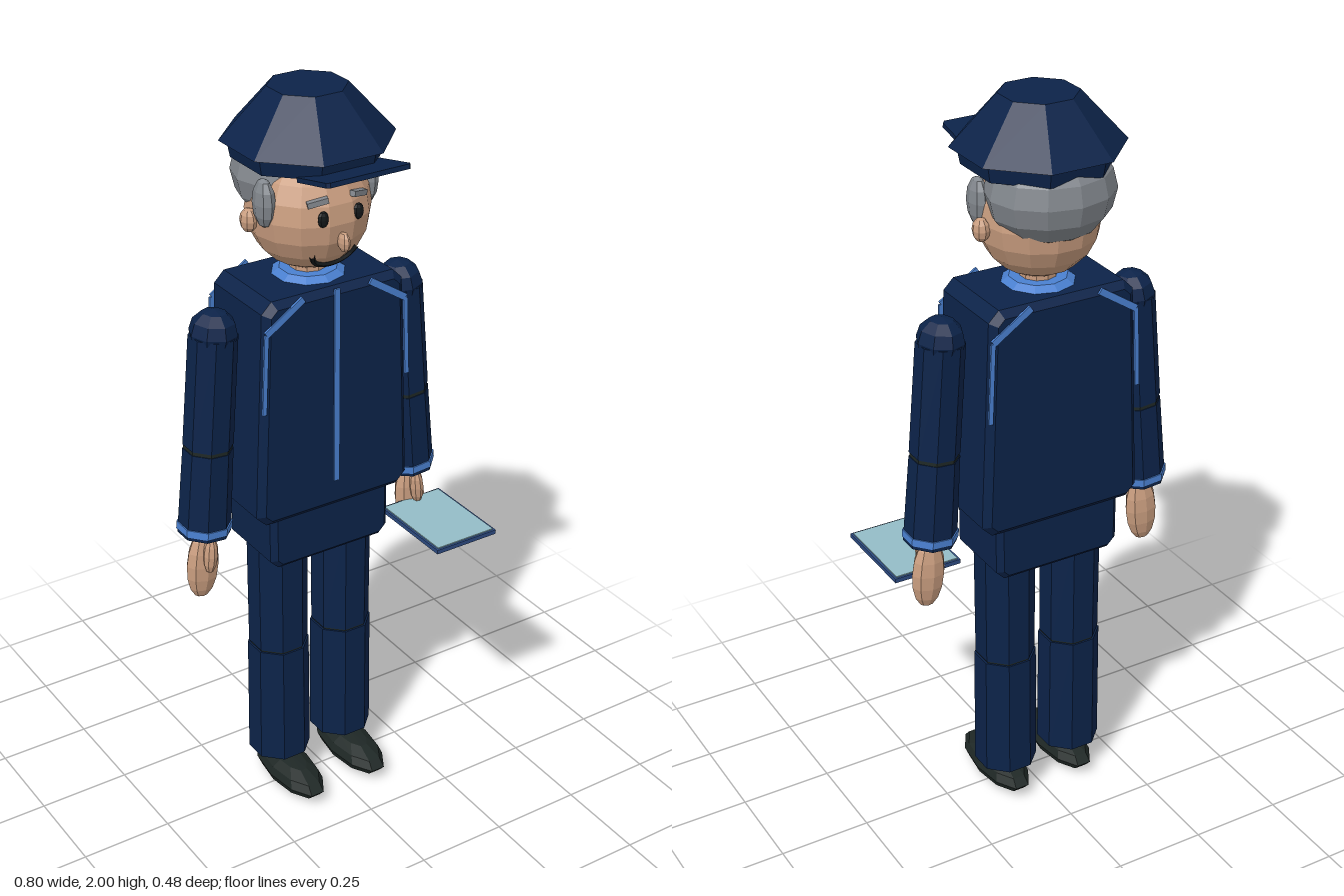
import * as THREE from 'three';

const mat = (name, color) => {
  const m = new THREE.MeshStandardMaterial({ color });
  m.name = name;
  return m;
};

export function createModel() {
  const navy = mat('navy cloth', 0x0c2349);
  const blue = mat('blue piping', 0x4a80d0);
  const skin = mat('skin', 0xc99d7f);
  const grey = mat('grey hair', 0x82878d);
  const black = mat('black', 0x14181a);
  const leather = mat('dark leather', 0x1e2725);
  const casing = mat('tablet casing', 0x2c4a80);
  const glass = mat('tablet screen', 0x93bcc6);

  const root = new THREE.Group();
  root.name = 'uniformedMan';
  const body = new THREE.Group();
  body.name = 'figure';
  body.position.set(-0.017, 0, -0.037);
  root.add(body);

  // Faceted mesh
  const add = (parent, name, geo, material, x = 0, y = 0, z = 0) => {
    const g = geo.index ? geo.toNonIndexed() : geo;
    g.computeVertexNormals();
    const m = new THREE.Mesh(g, material);
    m.name = name;
    m.position.set(x, y, z);
    parent.add(m);
    return m;
  };
  const ball = (rx, ry, rz, w = 10, h = 8) => new THREE.SphereGeometry(1, w, h).scale(rx, ry, rz);
  // Eight-sided prism measured across its flats
  const octagon = (top, bottom, height) => {
    const k = 1 / Math.cos(Math.PI / 8);
    return new THREE.CylinderGeometry(top * k, bottom * k, height, 8).rotateY(Math.PI / 8);
  };
  // Tapered block with chamfered edges
  const block = (wTop, wBottom, y0, y1, depth, c) => {
    const t = wTop - c, b = wBottom - c, lo = y0 + c, hi = y1 - c;
    const s = new THREE.Shape([
      [-b + c, lo], [b - c, lo], [b, lo + c], [t, hi - c],
      [t - c, hi], [-t + c, hi], [-t, hi - c], [-b, lo + c],
    ].map(p => new THREE.Vector2(...p)));
    const g = new THREE.ExtrudeGeometry(s, {
      depth: depth * 2 - c * 2, bevelEnabled: true, bevelSize: c, bevelThickness: c, bevelSegments: 1,
    });
    return g.translate(0, 0, -depth + c);
  };

  // Jacket and hips
  add(body, 'jacket', block(0.205, 0.228, 0.9, 1.52, 0.13, 0.018), navy);
  add(body, 'hips', block(0.18, 0.18, 0.75, 0.93, 0.112, 0.015), navy);
  add(body, 'collar', new THREE.CylinderGeometry(0.075, 0.1, 0.018, 10), blue, 0, 1.525);
  add(body, 'neck', new THREE.CylinderGeometry(0.047, 0.047, 0.1, 10), skin, 0, 1.55);

  // Piping strips laid on the jacket
  const strip = (name, x0, y0, x1, y1, z, w) => {
    const len = Math.hypot(x1 - x0, y1 - y0);
    const m = add(body, name, new THREE.BoxGeometry(w, len, 0.006), blue, (x0 + x1) / 2, (y0 + y1) / 2, z);
    m.rotation.z = Math.atan2(x0 - x1, y1 - y0);
  };
  strip('frontPiping', 0, 0.98, 0, 1.518, 0.131, 0.016);
  for (const s of [-1, 1]) for (const z of [-0.131, 0.131]) {
    strip('shoulderPiping', s * 0.097, 1.515, s * 0.203, 1.445, z, 0.018);
    strip('sidePiping', s * 0.203, 1.445, s * 0.212, 1.23, z, 0.012);
  }

  // Head
  const headY = 1.695, headR = 0.157;
  add(body, 'head', ball(headR, headR, headR, 14, 10), skin, 0, headY, 0);
  add(body, 'hair', ball(0.166, 0.132, 0.146, 12, 8), grey, 0, 1.775, -0.056);
  add(body, 'nose', ball(0.013, 0.026, 0.022, 8, 6), skin, 0, 1.652, 0.16);
  for (const s of [-1, 1]) {
    add(body, 'ear', ball(0.022, 0.031, 0.025, 8, 6), skin, s * 0.164, 1.687, -0.008);
    add(body, 'sideburn', ball(0.025, 0.063, 0.038, 8, 6), grey, s * 0.147, 1.742, 0.036);
    add(body, 'eye', ball(0.015, 0.021, 0.01, 8, 6), black, s * 0.05, 1.716, 0.146);
    const brow = add(body, 'eyebrow', new THREE.BoxGeometry(0.052, 0.014, 0.016), grey, s * 0.058, 1.757, 0.134);
    brow.rotation.set(0, s * 0.38, -s * 0.22);
  }
  // Smile follows the curve of the face
  const smile = [[-0.064, 1.614], [-0.05, 1.59], [-0.026, 1.578], [0, 1.574], [0.026, 1.578], [0.05, 1.59], [0.064, 1.614]]
    .map(([x, y]) => new THREE.Vector3(x, y, Math.sqrt(headR ** 2 - x * x - (y - headY) ** 2)));
  add(body, 'mouth', new THREE.TubeGeometry(new THREE.CatmullRomCurve3(smile), 14, 0.007, 5), black);

  // Peaked cap
  add(body, 'capCrown', octagon(0.092, 0.2, 0.128), navy, 0, 1.936);
  add(body, 'capBand', octagon(0.182, 0.174, 0.045), navy, 0, 1.851);
  const visor = new THREE.Shape([[-0.117, 0], [0.117, 0], [0.117, 0.128], [0.11, 0.136], [-0.11, 0.136], [-0.117, 0.128]]
    .map(p => new THREE.Vector2(...p)));
  const peak = add(body, 'capPeak', new THREE.ExtrudeGeometry(visor, { depth: 0.012, bevelEnabled: false })
    .rotateX(Math.PI / 2), navy, 0, 1.833, 0.135);
  peak.rotation.x = -0.22;

  for (const s of [-1, 1]) {
    const side = s > 0 ? 'left' : 'right';
    // Leg and shoe
    const leg = new THREE.Group();
    leg.name = side + 'Leg';
    leg.position.x = s * 0.1;
    body.add(leg);
    add(leg, 'thigh', octagon(0.075, 0.074, 0.33), navy, 0, 0.62);
    add(leg, 'knee', octagon(0.072, 0.072, 0.016), leather, 0, 0.455);
    add(leg, 'shin', octagon(0.077, 0.079, 0.35), navy, 0, 0.275);
    add(leg, 'shoe', ball(0.063, 0.043, 0.152, 10, 6), leather, 0, 0.045, 0.053);

    // Arm hanging slightly outward
    const arm = new THREE.Group();
    arm.name = side + 'Arm';
    arm.position.set(s * 0.275, 1.42, 0);
    arm.rotation.z = s * 0.078;
    body.add(arm);
    add(arm, 'shoulder', ball(0.062, 0.062, 0.064, 8, 6), navy);
    add(arm, 'upperArm', octagon(0.058, 0.06, 0.3), navy, 0, -0.155);
    add(arm, 'elbow', octagon(0.058, 0.058, 0.014), leather, 0, -0.31);
    add(arm, 'forearm', octagon(0.06, 0.064, 0.235), navy, 0, -0.433);
    add(arm, 'cuffPiping', octagon(0.067, 0.067, 0.02), blue, 0, -0.535);
    add(arm, 'cuff', octagon(0.064, 0.064, 0.01), navy, 0, -0.55);
    add(arm, 'hand', ball(0.047, 0.1, 0.032, 8, 8), skin, 0, -0.652);
    add(arm, 'thumb', ball(0.019, 0.052, 0.021, 8, 6), skin, 0, -0.61, 0.036);
  }

  // Tablet held flat in the left hand
  const tablet = new THREE.Group();
  tablet.name = 'tablet';
  tablet.position.set(0.3, 0.761, 0.11);
  root.add(tablet);
  add(tablet, 'tabletCase', new THREE.BoxGeometry(0.19, 0.012, 0.26), casing);
  add(tablet, 'tabletScreen', new THREE.BoxGeometry(0.178, 0.004, 0.248), glass, 0, 0.007);

  return root;
}
